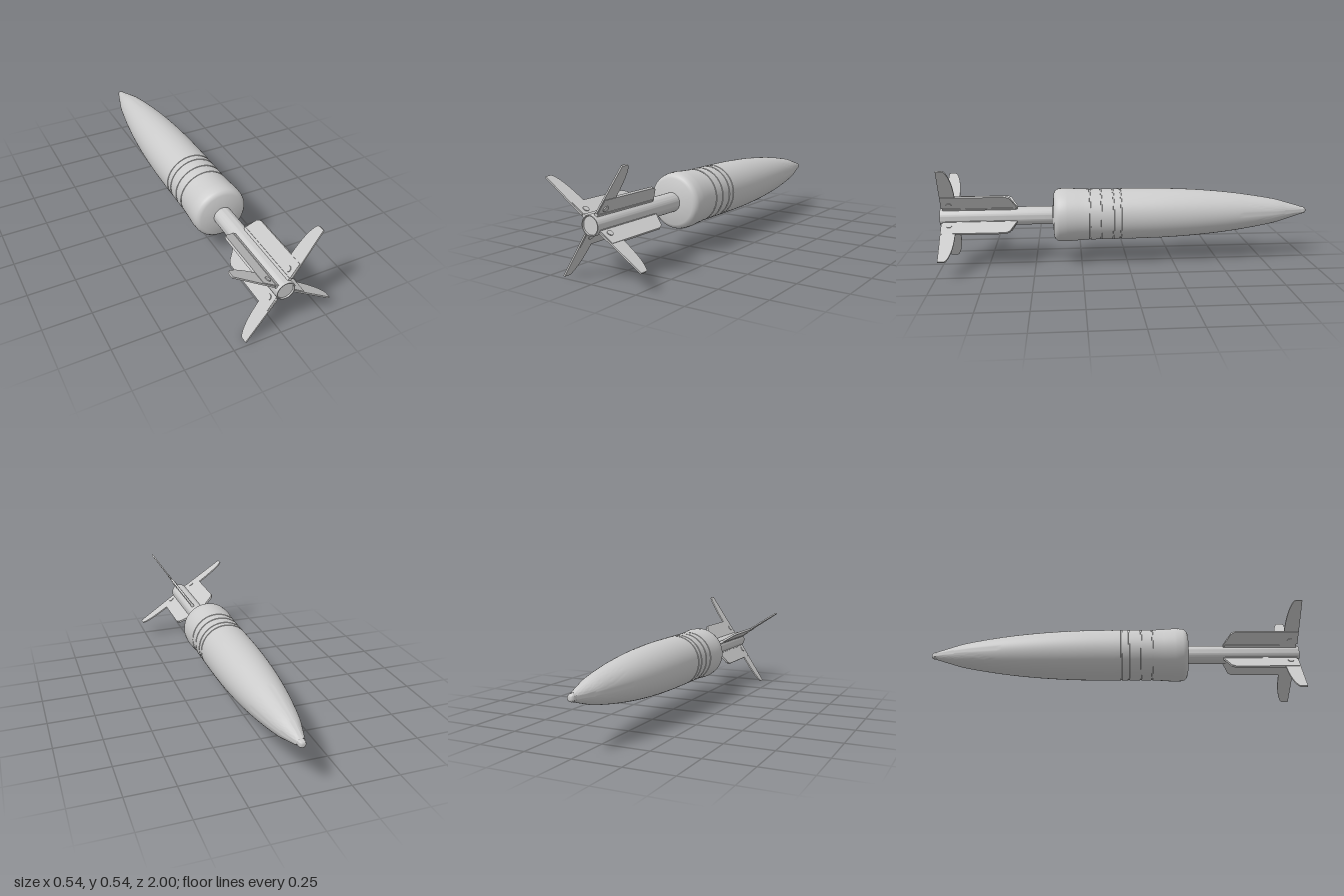
import * as THREE from 'three';
import { toCreasedNormals } from 'three/addons/utils/BufferGeometryUtils.js';

const material = new THREE.MeshStandardMaterial({ color: 0xcccccc });

function addMesh(parent, geometry, name) {
  const mesh = new THREE.Mesh(geometry, material);
  mesh.name = name;
  parent.add(mesh);
  return mesh;
}

// Surface of revolution along z from [radius, z] pairs, nose to tail.
function turned(points, crease = 0.5) {
  const profile = points.map(([r, z]) => new THREE.Vector2(r, z));
  const geometry = new THREE.LatheGeometry(profile, 64).rotateX(Math.PI / 2);
  return toCreasedNormals(geometry, crease);
}

// Flat plate: shape x runs outward, shape y runs along z.
function plate(shape, thickness) {
  return toCreasedNormals(new THREE.ExtrudeGeometry(shape, {
    depth: thickness, bevelEnabled: false, curveSegments: 16,
  }).translate(0, 0, -thickness / 2).rotateX(Math.PI / 2), 0.5);
}

// Shallow square-cut groove in the shell.
const groove = (z, r) => [[r, z - 0.004], [r - 0.003, z - 0.003], [r - 0.003, z + 0.003], [r, z + 0.004]];

function createFin() {
  const fin = new THREE.Group();

  // Fixed root plate with a chamfered leading corner
  const root = new THREE.Shape();
  root.moveTo(0.035, 0.59);
  root.lineTo(0.052, 0.59);
  root.lineTo(0.125, 0.628);
  root.lineTo(0.137, 0.65);
  root.lineTo(0.137, 0.985);
  root.lineTo(0.035, 0.985);
  addMesh(fin, plate(root, 0.012), 'finRoot');

  // Long blade with a curved leading edge
  const blade = new THREE.Shape();
  blade.moveTo(0.06, 0.91);
  blade.lineTo(0.16, 0.912);
  blade.bezierCurveTo(0.23, 0.913, 0.29, 0.924, 0.318, 0.943);
  blade.quadraticCurveTo(0.324, 0.948, 0.324, 0.957);
  blade.lineTo(0.323, 0.985);
  blade.lineTo(0.06, 0.992);
  addMesh(fin, plate(blade, 0.008), 'finBlade');

  // Stiffening foot where the plate meets the tube
  const foot = new THREE.Shape();
  foot.moveTo(0.03, 0.592);
  foot.lineTo(0.056, 0.6);
  foot.lineTo(0.056, 0.985);
  foot.lineTo(0.03, 0.985);
  addMesh(fin, plate(foot, 0.018), 'finFoot');

  // Pivot pin showing on both faces
  const pin = toCreasedNormals(new THREE.CylinderGeometry(0.015, 0.015, 0.02, 24), 0.5);
  addMesh(fin, pin, 'finPin').position.set(0.082, 0, 0.948);
  return fin;
}

export function createModel() {
  const model = new THREE.Group();
  const core = new THREE.Group();
  core.name = 'body';
  core.position.set(0.003, 0.261, 0);
  model.add(core);

  // Ogive from the nose to the straight part of the shell
  const ogive = new THREE.SplineCurve([
    [0.021, -0.972], [0.046, -0.89], [0.07, -0.8], [0.103, -0.6],
    [0.124, -0.4], [0.135, -0.2], [0.138, 0],
  ].map(([r, z]) => new THREE.Vector2(r, z))).getPoints(40).map((p) => [p.x, p.y]);

  addMesh(core, turned([
    ...ogive,
    ...groove(0.04, 0.138), ...groove(0.08, 0.138),
    ...groove(0.145, 0.138), ...groove(0.205, 0.138),
    [0.141, 0.27], [0.145, 0.326], [0.145, 0.335],
    [0.143, 0.368], [0.139, 0.381], [0.13, 0.391], [0.118, 0.397],
    [0.045, 0.404],
  ]), 'shell');

  // Rounded nose button
  addMesh(core, turned([
    [0, -1], [0.009, -0.998], [0.015, -0.993], [0.019, -0.984], [0.02, -0.97], [0.015, -0.965],
  ], 0.8), 'noseTip');

  // Tail tube with a rimmed, slightly sunken end
  addMesh(core, turned([
    [0.046, 0.39], [0.049, 0.41], [0.049, 0.99], [0.047, 1],
    [0.043, 1], [0.042, 0.992], [0, 0.992],
  ]), 'tailTube');

  // Four crossed fins
  const fins = new THREE.Group();
  fins.name = 'fins';
  fins.position.set(0, 0.268, 0);
  model.add(fins);
  for (let i = 0; i < 4; i++) {
    const fin = createFin();
    fin.name = 'fin' + (i + 1);
    fin.rotation.z = THREE.MathUtils.degToRad(56.3 + 90 * i);
    fins.add(fin);
  }
  return model;
}
